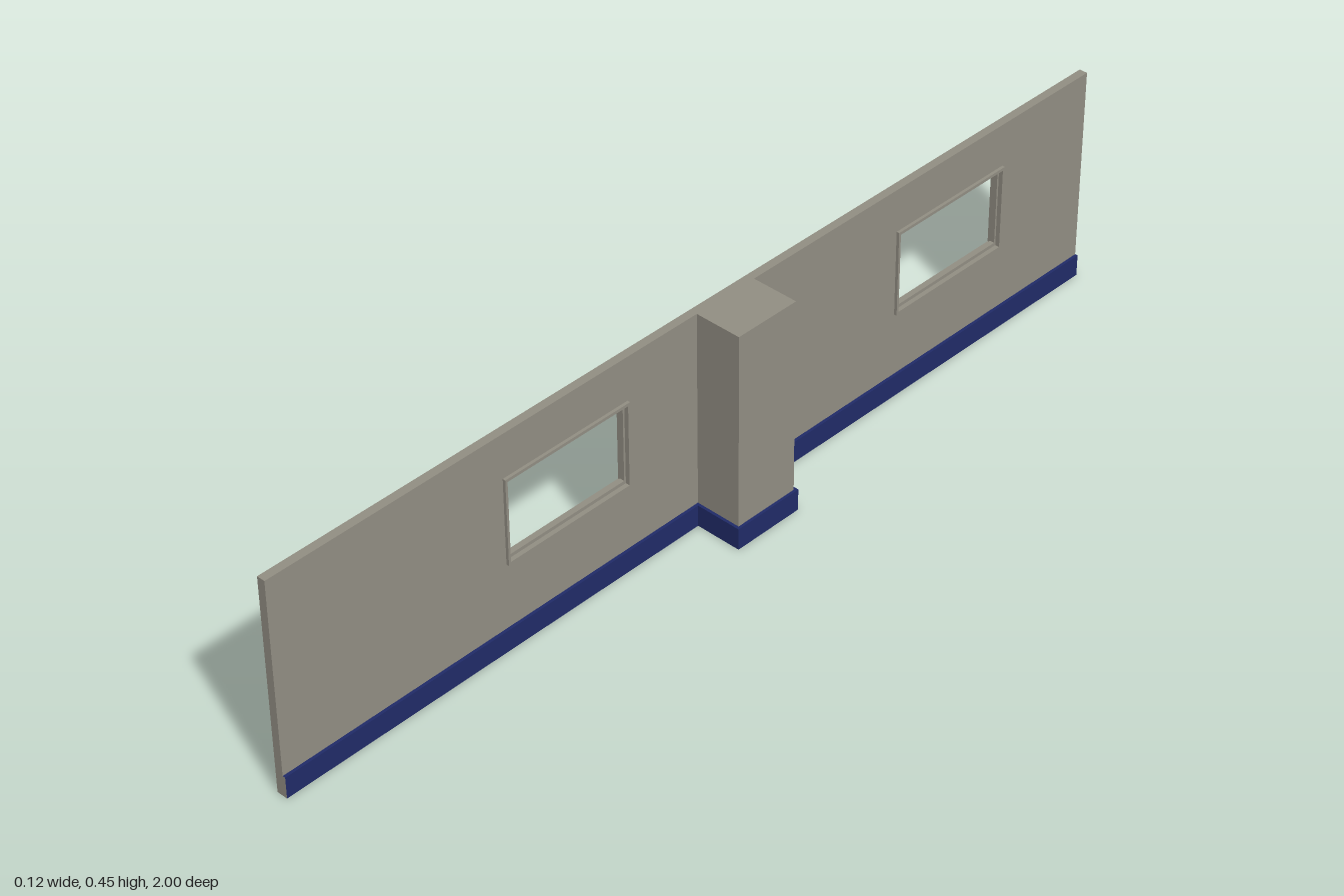
import * as THREE from 'three';

const WALL_BACK = -0.058, WALL_FRONT = -0.041, HEIGHT = 0.45;
const SKIRT_HEIGHT = 0.045, SKIRT_FRONT = -0.035;
const WINDOWS = [0.35, -0.62]; // window centres along z
const WIN_Y = 0.27, WIN_W = 0.29, WIN_H = 0.18;

const plaster = new THREE.MeshStandardMaterial({ color: 0x928e83 });
plaster.name = 'warm grey plaster';
const navy = new THREE.MeshStandardMaterial({ color: 0x202b68 });
navy.name = 'navy blue';

// Rectangle path centred on (z, y); the shape's x axis becomes -z after turning
function rect(path, z, y, w, h) {
  path.moveTo(-z - w / 2, y - h / 2);
  path.lineTo(-z + w / 2, y - h / 2);
  path.lineTo(-z + w / 2, y + h / 2);
  path.lineTo(-z - w / 2, y + h / 2);
  path.closePath();
  return path;
}

// Upright panel with holes, spanning x0 to x1
function panel(name, outline, holes, x0, x1) {
  const shape = rect(new THREE.Shape(), ...outline);
  shape.holes = holes.map((h) => rect(new THREE.Path(), ...h));
  const geo = new THREE.ExtrudeGeometry(shape, { depth: x1 - x0, bevelEnabled: false });
  geo.rotateY(Math.PI / 2).translate(x0, 0, 0);
  const mesh = new THREE.Mesh(geo, plaster);
  mesh.name = name;
  return mesh;
}

// Box given by its limits on each axis
function block(name, [x0, x1], [y0, y1], [z0, z1], material) {
  const geo = new THREE.BoxGeometry(x1 - x0, y1 - y0, z1 - z0);
  geo.translate((x0 + x1) / 2, (y0 + y1) / 2, (z0 + z1) / 2);
  const mesh = new THREE.Mesh(geo, material);
  mesh.name = name;
  return mesh;
}

export function createModel() {
  const group = new THREE.Group();
  group.name = 'wallSection';

  // Wall with two window openings
  group.add(panel('wall', [0, HEIGHT / 2, 2, HEIGHT],
    WINDOWS.map((z) => [z, WIN_Y, WIN_W - 0.004, WIN_H - 0.004]), WALL_BACK, WALL_FRONT));

  // Window casings standing proud of both faces, with a recessed sash inside
  WINDOWS.forEach((z, i) => {
    const win = new THREE.Group();
    win.name = i ? 'rearWindow' : 'frontWindow';
    const inner = [z, WIN_Y, WIN_W - 0.01, WIN_H - 0.012];
    win.add(panel('casing', [z, WIN_Y, WIN_W, WIN_H], [inner], -0.0625, -0.035));
    win.add(panel('sash', inner, [[z, 0.2715, 0.272, 0.157]], -0.054, -0.044));
    group.add(win);
  });

  // Pillar
  group.add(block('pillar', [WALL_FRONT, 0.056], [SKIRT_HEIGHT / 2, HEIGHT], [-0.104, 0.037], plaster));

  // Skirting: painted on its faces, bare underneath and at the wall's ends
  const skirt = [0, SKIRT_HEIGHT];
  const ends = [navy, navy, navy, plaster, plaster, navy];
  const backEnd = [navy, navy, navy, plaster, navy, plaster];
  group.add(block('frontSkirting', [WALL_FRONT, SKIRT_FRONT], skirt, [0.043, 1], ends));
  group.add(block('rearSkirting', [WALL_FRONT, SKIRT_FRONT], skirt, [-1, -0.11], backEnd));
  group.add(block('pillarSkirting', [WALL_FRONT, 0.0615], skirt, [-0.11, 0.043],
    [navy, navy, navy, plaster, navy, navy]));

  return group;
}
